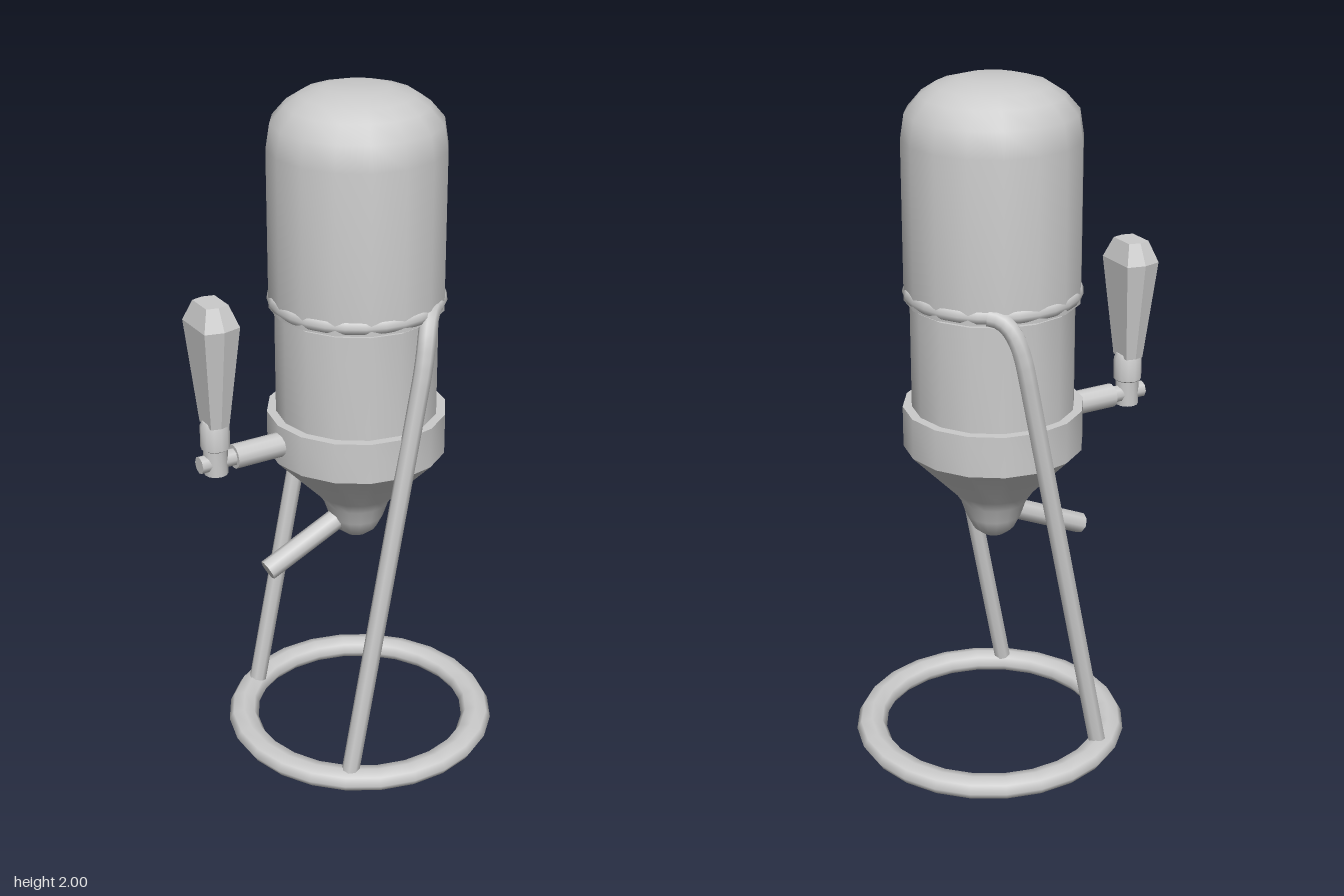
import * as THREE from 'three';
import { toCreasedNormals } from 'three/addons/utils/BufferGeometryUtils.js';

const AXIS = 0.043; // x of the body's vertical axis
const material = new THREE.MeshStandardMaterial({ color: 0xcccccc });
const flatMaterial = new THREE.MeshStandardMaterial({ color: 0xcccccc, flatShading: true });
const vec = (x, y, z) => new THREE.Vector3(x, y, z);

function add(parent, name, geometry, mat = material) {
  const mesh = new THREE.Mesh(geometry, mat);
  mesh.name = name;
  parent.add(mesh);
  return mesh;
}

// Turned part from [radius, y] pairs, listed bottom to top
function turned(profile, sides = 16) {
  const points = profile.map(([r, y]) => new THREE.Vector2(r, y));
  return toCreasedNormals(new THREE.LatheGeometry(points, sides), 0.75);
}

// Straight capped rod between two points
function rod(from, to, radius, sides = 12) {
  const dir = to.clone().sub(from);
  const geometry = new THREE.CylinderGeometry(radius, radius, dir.length(), sides);
  geometry.applyQuaternion(new THREE.Quaternion().setFromUnitVectors(vec(0, 1, 0), dir.normalize()));
  const mid = from.clone().add(to).multiplyScalar(0.5);
  return geometry.translate(mid.x, mid.y, mid.z);
}

export function createModel() {
  const model = new THREE.Group();
  model.name = 'dispenser';

  // Body: domed canister, neck and funnel
  const body = new THREE.Group();
  body.name = 'body';
  body.position.x = AXIS;
  model.add(body);
  add(body, 'canister', turned([
    [0, 1.39], [0.247, 1.39], [0.247, 1.84], [0.236, 1.91], [0.197, 1.955],
    [0.155, 1.982], [0.09, 2], [0, 2],
  ]));
  add(body, 'neck', turned([[0.231, 1.06], [0.231, 1.38], [0, 1.38]]));
  add(body, 'funnel', turned([
    [0, 0.67], [0.035, 0.67], [0.06, 0.69], [0.08, 0.73], [0.095, 0.775], [0.118, 0.81],
    [0.257, 0.955], [0.257, 1.075], [0, 1.075],
  ]));

  // Outlet pipe slanting down from the funnel tip
  add(model, 'spout', rod(vec(-0.255, 0.621, 0), vec(0.03, 0.752, 0), 0.031, 8));

  // Base ring
  const base = new THREE.TorusGeometry(0.359, 0.045, 8, 24);
  base.rotateX(Math.PI / 2).rotateY(Math.PI / 24).scale(1, 0.68, 1).translate(0.058, 0.033, 0);
  add(model, 'baseRing', base);

  // Support hoop around the canister, with a bent leg on each side
  const hoop = new THREE.TorusGeometry(0.228, 0.023, 8, 28);
  hoop.rotateX(Math.PI / 2).translate(AXIS, 1.412, 0);
  add(model, 'supportHoop', hoop);
  for (const side of [1, -1]) {
    const path = new THREE.CurvePath();
    const foot = vec(-0.148, 0.045, 0.283 * side);
    const bendStart = vec(0.088, 1.25, 0.265 * side);
    const bendEnd = vec(0.165, 1.411, 0.194 * side);
    path.add(new THREE.LineCurve3(foot, bendStart));
    path.add(new THREE.CubicBezierCurve3(bendStart, vec(0.107, 1.35, 0.263 * side),
      vec(0.12, 1.411, 0.235 * side), bendEnd));
    // Sample the bend more finely than the straight run
    const points = [foot, ...path.curves[1].getPoints(7)];
    const leg = new THREE.CurvePath();
    for (let i = 1; i < points.length; i++) leg.add(new THREE.LineCurve3(points[i - 1], points[i]));
    add(model, side > 0 ? 'leftLeg' : 'rightLeg', new THREE.TubeGeometry(leg, 64, 0.026, 8));
  }

  // Tap: arm, cross pin, collar and faceted lever
  const tap = new THREE.Group();
  tap.name = 'tap';
  model.add(tap);
  add(tap, 'arm', rod(vec(-0.355, 1.015, 0), vec(-0.17, 1.015, 0), 0.035));
  add(tap, 'crossPin', rod(vec(-0.461, 1.015, 0), vec(-0.34, 1.015, 0), 0.025, 8));
  const collar = turned([
    [0, 0.98], [0.034, 0.98], [0.034, 1.055], [0.041, 1.06], [0.041, 1.125], [0.034, 1.14], [0, 1.14],
  ], 12);
  add(tap, 'collar', collar).position.x = -0.41;

  const lever = new THREE.LatheGeometry([
    [0, 1.13], [0.53, 1.13], [1, 1.425], [0.62, 1.485], [0, 1.485],
  ].map(([r, y]) => new THREE.Vector2(r, y)), 6);
  // Widen the hexagon's section along z and blunt its two end corners
  const p = lever.attributes.position;
  for (let i = 0; i < p.count; i++) {
    const x = p.getX(i), z = p.getZ(i);
    const onEnd = Math.abs(x) < 0.01;
    p.setX(i, x * 0.061);
    p.setZ(i, z * (onEnd ? 0.078 : 0.13));
  }
  add(tap, 'lever', lever, flatMaterial).position.x = -0.41;

  return model;
}
